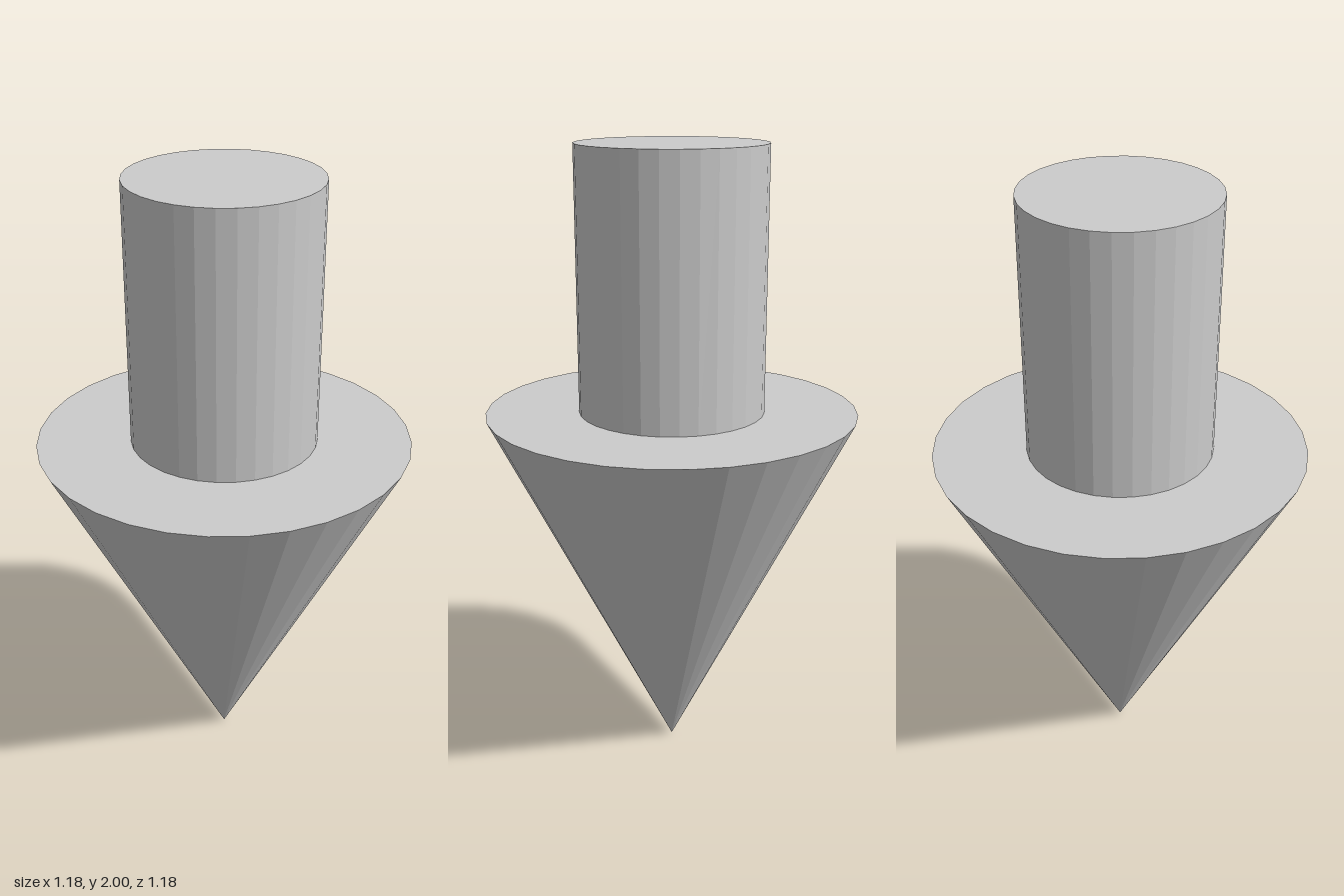
import * as THREE from 'three';

const SIDES = 32;
const HEAD_HEIGHT = 1.176;
const TOTAL_HEIGHT = 2;

export function createModel() {
  const group = new THREE.Group();
  group.name = 'downArrow';
  const material = new THREE.MeshStandardMaterial({ color: 0xcccccc, flatShading: true });

  // Adds a faceted round part standing between two heights
  function addRound(name, topRadius, bottomRadius, y0, y1) {
    const geometry = new THREE.CylinderGeometry(topRadius, bottomRadius, y1 - y0, SIDES);
    const mesh = new THREE.Mesh(geometry, material);
    mesh.name = name;
    mesh.position.y = (y0 + y1) / 2;
    group.add(mesh);
  }

  // Cone with its tip on the ground
  addRound('arrowHead', 0.588, 0, 0, HEAD_HEIGHT);
  // Cylinder rising from the cone's flat base
  addRound('shaft', 0.294, 0.294, HEAD_HEIGHT, TOTAL_HEIGHT);

  return group;
}
